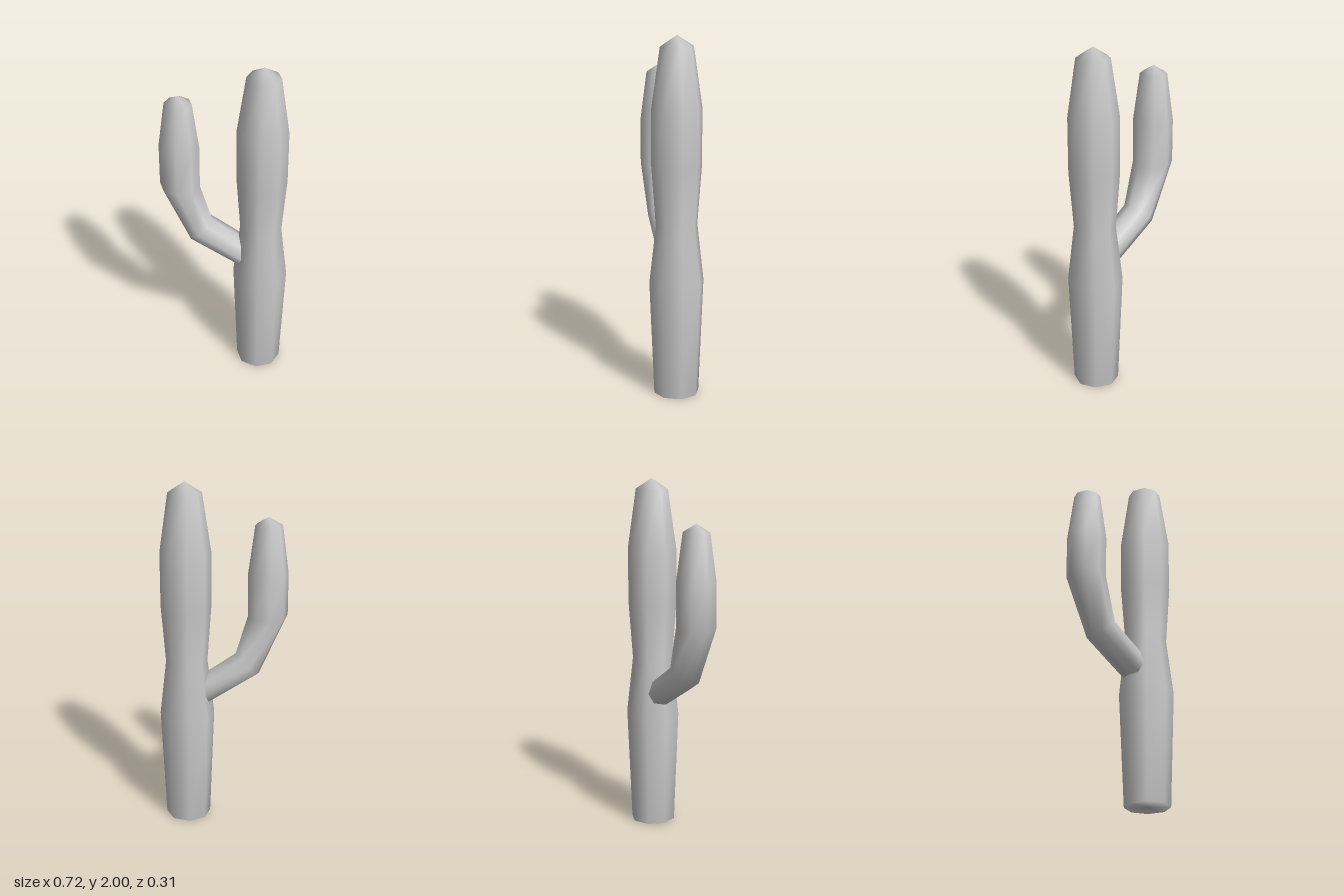
import * as THREE from 'three';
import { mergeVertices } from 'three/addons/utils/BufferGeometryUtils.js';

const SIDES = 8;
const material = new THREE.MeshStandardMaterial({ color: 0xcccccc });

// Skin through octagonal rings: [centre x, centre y, half-width along x, along y, half-depth z]
function skin(name, rings) {
  const positions = [];
  const index = [];
  for (const [cx, cy, ux, uy, rz] of rings) {
    for (let j = 0; j < SIDES; j++) {
      const a = (j / SIDES) * Math.PI * 2;
      positions.push(cx + ux * Math.cos(a), cy + uy * Math.cos(a), rz * Math.sin(a));
    }
  }
  for (let i = 0; i < rings.length - 1; i++) {
    for (let j = 0; j < SIDES; j++) {
      const a = i * SIDES + j;
      const b = i * SIDES + ((j + 1) % SIDES);
      const c = a + SIDES;
      const d = b + SIDES;
      index.push(a, c, b, b, c, d);
    }
  }
  let geometry = new THREE.BufferGeometry();
  geometry.setAttribute('position', new THREE.Float32BufferAttribute(positions, 3));
  geometry.setIndex(index);
  geometry = mergeVertices(geometry); // joins the points of the closed ends
  geometry.computeVertexNormals();
  const mesh = new THREE.Mesh(geometry, material);
  mesh.name = name;
  return mesh;
}

export function createModel() {
  const group = new THREE.Group();
  group.name = 'cactus';

  // Upright trunk: radius and height, closed at the base and pointed at the top
  const trunkProfile = [
    [0, 0], [0.127, 0], [0.153, 0.65], [0.116, 0.97],
    [0.14, 1.3], [0.14, 1.61], [0.092, 1.94], [0, 2],
  ];
  group.add(skin('trunk', trunkProfile.map(([r, y]) => [0.203, y, r, 0, r])));

  // Side arm: leaves the trunk at a slant, then bends upright
  group.add(skin('arm', [
    [0.16, 0.757, 0, 0, 0],
    [0.16, 0.757, 0.041, 0.066, 0.088],
    [-0.137, 0.943, 0.066, 0.06, 0.091],
    [-0.249, 1.23, 0.111, -0.004, 0.111],
    [-0.249, 1.48, 0.111, 0, 0.111],
    [-0.249, 1.75, 0.075, 0, 0.075],
    [-0.249, 1.797, 0, 0, 0],
  ]));

  return group;
}
